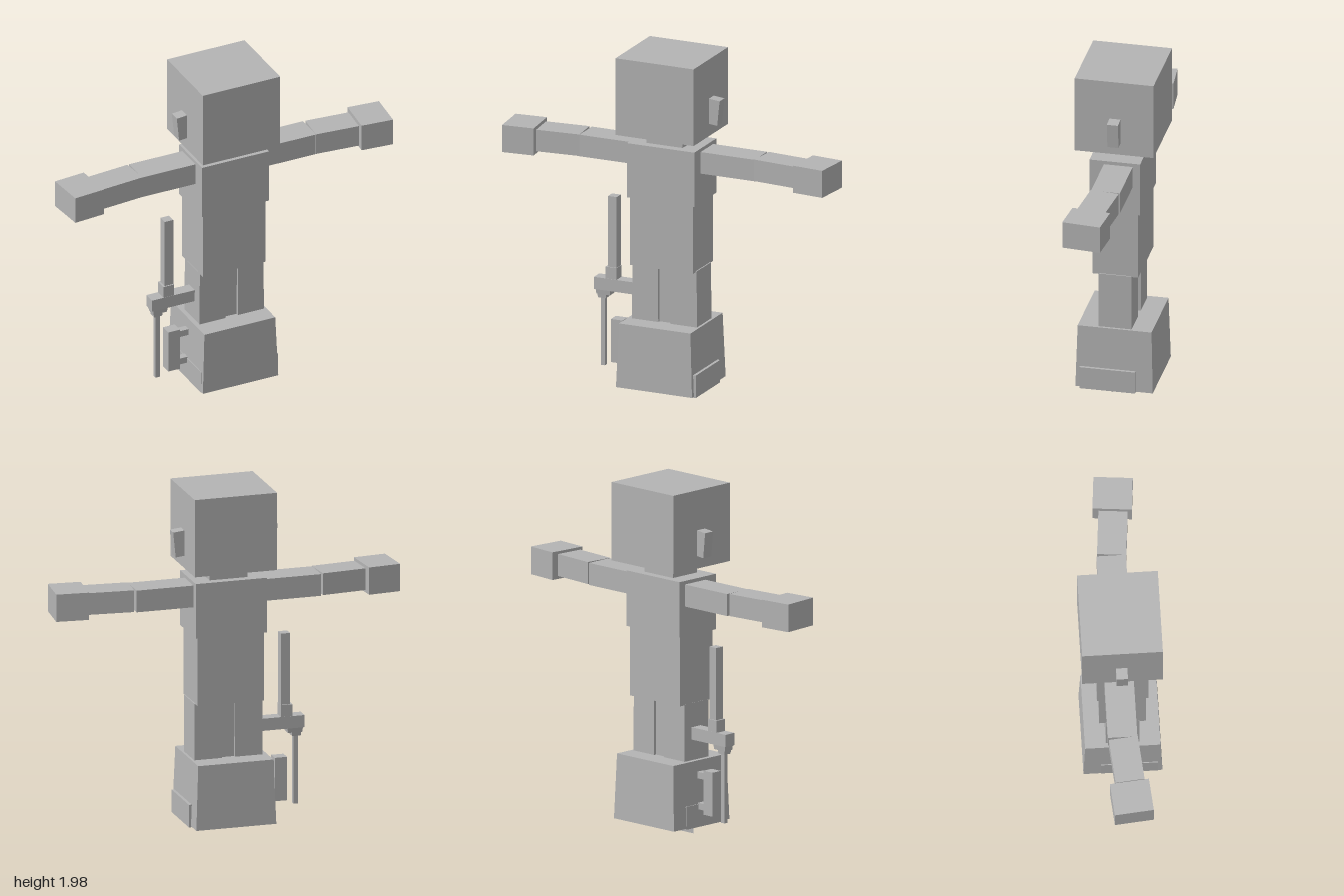
import * as THREE from 'three';

export function createModel() {
  const model = new THREE.Group();
  model.name = 'blockFigure';
  const grey = new THREE.MeshStandardMaterial({ color: 0xb4b4b4 });
  grey.name = 'plain grey';

  // Box given by its limits on each axis; the top can be scaled for a taper
  function block(name, [x0, x1], [y0, y1], [z0, z1], topX = 1, topZ = 1, parent = model) {
    const geo = new THREE.BoxGeometry(x1 - x0, y1 - y0, z1 - z0);
    const p = geo.attributes.position;
    for (let i = 0; i < p.count; i++) {
      if (p.getY(i) > 0) {
        p.setX(i, p.getX(i) * topX);
        p.setZ(i, p.getZ(i) * topZ);
      }
    }
    geo.computeVertexNormals();
    const mesh = new THREE.Mesh(geo, grey);
    mesh.name = name;
    mesh.position.set((x0 + x1) / 2, (y0 + y1) / 2, (z0 + z1) / 2);
    parent.add(mesh);
    return mesh;
  }

  // Head, neck and body
  block('head', [-0.24, 0.237], [1.53, 1.975], [-0.225, 0.222]);
  block('neck', [-0.11, 0.11], [1.44, 1.54], [-0.095, 0.095]);
  block('chest', [-0.207, 0.205], [1.15, 1.465], [-0.142, 0.145]);
  block('torso', [-0.195, 0.19], [0.755, 1.16], [-0.128, 0.13]);

  // Ears and arms, once per side
  for (const [side, s] of [['left', 1], ['right', -1]]) {
    const span = (a, b) => (s > 0 ? [a, b] : [-b, -a]);

    const ear = block(side + 'Ear', span(0.23, 0.296), [1.6, 1.745], [-0.038, 0.025]);
    ear.rotation.z = -s * 0.1;

    block(side + 'UpperArm', span(0.19, 0.535), [1.32, 1.445], [-0.1, 0.063]);
    const forearm = block(side + 'Forearm', span(0.54, 0.795), [1.322, 1.447], [-0.085, 0.077]);
    forearm.rotation.y = -s * 0.09;
    const hand = block(side + 'Hand', span(0.802, 0.988), [1.303, 1.46], [-0.098, 0.12]);
    hand.rotation.y = -s * 0.09;

    // Legs, with a panel and a sole on each side
    block(side + 'Leg', span(0.038, 0.198), [0.42, 0.76], [-0.092, 0.096], 0.98);
    block(side + 'BasePanel', span(0.2, 0.238), [0.06, 0.19], [-0.12, 0.195]);
    block(side + 'Sole', span(0.03, 0.2), [0.056, 0.075], [-0.17, 0.17]);
  }
  block('legFiller', [-0.045, 0.045], [0.42, 0.76], [-0.077, 0.08]);

  // Base block, slightly narrower at the top
  block('base', [-0.238, 0.226], [0.066, 0.435], [-0.218, 0.22], 0.94, 0.955);

  // Thin sheet hanging under the base
  const sheet = new THREE.Mesh(new THREE.PlaneGeometry(0.285, 0.07),
    new THREE.MeshStandardMaterial().copy(grey));
  sheet.material.side = THREE.DoubleSide;
  sheet.name = 'standSheet';
  sheet.position.set(-0.002, 0.035, 0.03);
  model.add(sheet);

  // Upright handle and rod carried on a bar at the right hip
  const gear = new THREE.Group();
  gear.name = 'hipGear';
  model.add(gear);
  block('hipBar', [-0.46, -0.18], [0.552, 0.622], [-0.036, 0.034], 1, 1, gear);
  block('handleCollar', [-0.39, -0.323], [0.615, 0.69], [-0.035, 0.032], 1, 1, gear);
  block('handle', [-0.378, -0.325], [0.68, 1.1], [-0.027, 0.025], 1, 1, gear);
  block('rodCollarTop', [-0.448, -0.365], [0.525, 0.555], [-0.03, 0.028], 1.08, 1.1, gear);
  block('rodCollarBottom', [-0.441, -0.392], [0.503, 0.53], [-0.024, 0.022], 1.1, 1.1, gear);
  block('rod', [-0.428, -0.402], [0.11, 0.515], [-0.014, 0.013], 1, 1, gear);

  // Side plate held off the base by two pegs
  block('sidePlate', [-0.358, -0.287], [0.14, 0.39], [-0.035, 0.03], 1, 1, gear);
  for (const y of [0.16, 0.335]) {
    block('platePeg', [-0.295, -0.21], [y, y + 0.037], [-0.022, 0.018], 1, 1, gear);
  }

  return model;
}
